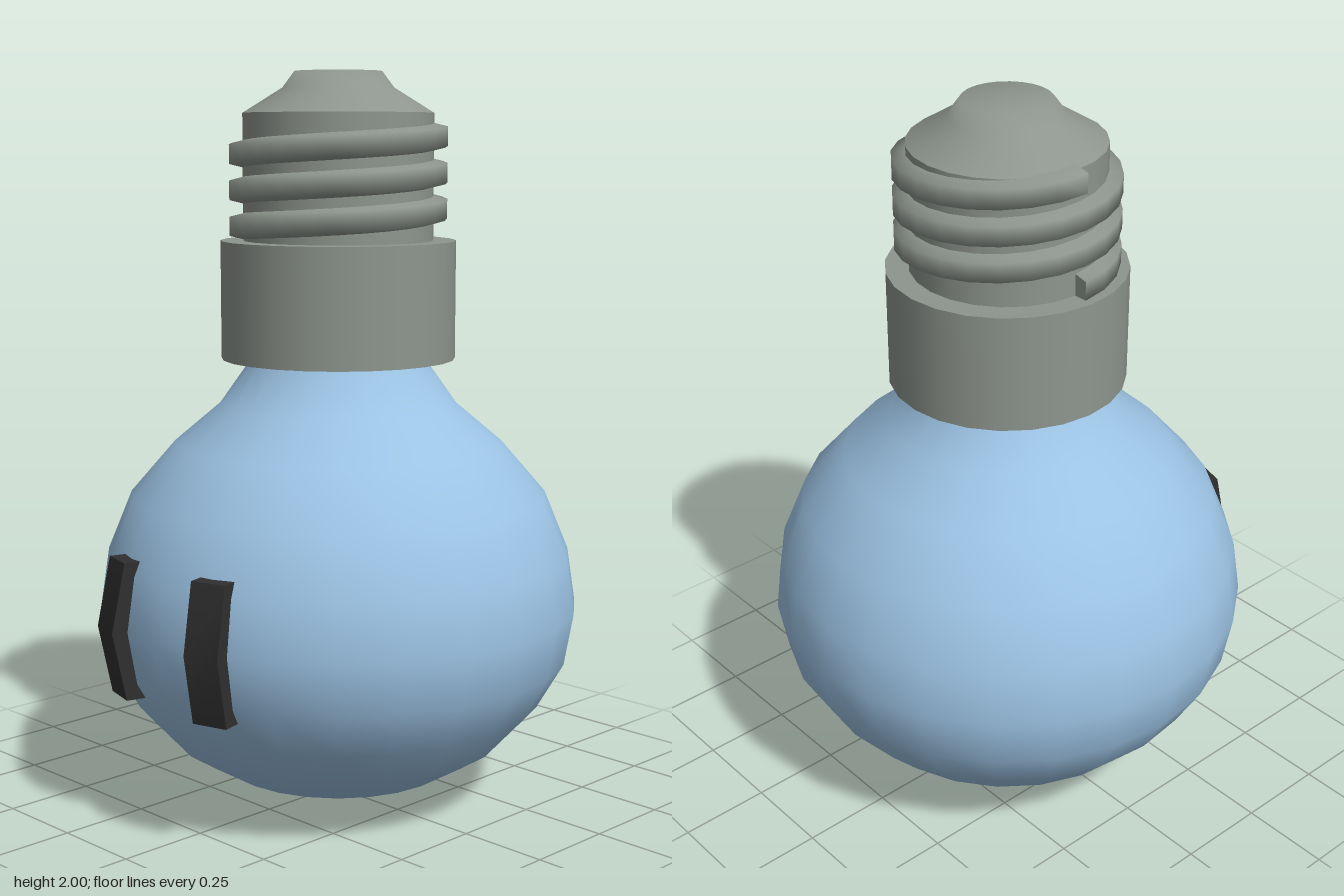
import * as THREE from 'three';

const SIDES = 24;
const glass = new THREE.MeshStandardMaterial({ color: 0x9cc3e4 });
const metal = new THREE.MeshStandardMaterial({ color: 0x8e958e });
const dark = new THREE.MeshStandardMaterial({ color: 0x303030 });

function add(parent, name, geometry, material, y = 0) {
  const mesh = new THREE.Mesh(geometry, material);
  mesh.name = name;
  mesh.position.y = y;
  parent.add(mesh);
  return mesh;
}

const lathe = (pts) =>
  new THREE.LatheGeometry(pts.map(([r, y]) => new THREE.Vector2(r, y)), SIDES);

// Helical ridge: a trapezoid section swept upward, starting at -x
function threadGeometry(turns, yStart, pitch) {
  const section = [[0.25, -0.037], [0.295, -0.026], [0.295, 0.026], [0.25, 0.037]];
  const steps = turns * SIDES, pos = [], index = [];
  const ring = (i) => {
    const t = (i / SIDES) * Math.PI * 2;
    for (const [r, dy] of section)
      pos.push(-r * Math.cos(t), yStart + (pitch * i) / SIDES + dy, r * Math.sin(t));
  };
  for (let i = 0; i <= steps; i++) ring(i);
  for (let i = 0; i < steps; i++)
    for (let j = 0; j < 3; j++) {
      const a = i * 4 + j, b = a + 4;
      index.push(a, b, a + 1, b, b + 1, a + 1);
    }
  // End caps on their own vertices so the ends stay sharp
  const s = pos.length / 3, e = s + 4;
  ring(0);
  ring(steps);
  index.push(s, s + 1, s + 2, s, s + 2, s + 3, e, e + 2, e + 1, e, e + 3, e + 2);
  const g = new THREE.BufferGeometry();
  g.setAttribute('position', new THREE.Float32BufferAttribute(pos, 3));
  g.setIndex(index);
  g.computeVertexNormals();
  return g;
}

// Tall bar bent outward at mid height to follow the glass
function eyeGeometry() {
  const g = new THREE.BoxGeometry(0.1, 0.37, 0.076, 1, 2, 1);
  const p = g.attributes.position;
  for (let i = 0; i < p.count; i++)
    p.setZ(i, p.getZ(i) + 0.661 - 0.038 * Math.abs(p.getY(i)) / 0.185);
  g.computeVertexNormals();
  return g;
}

export function createModel() {
  const model = new THREE.Group();
  model.name = 'lightBulb';
  const body = new THREE.Group();
  body.name = 'body';
  body.position.z = -0.017;
  model.add(body);

  // Glass bulb with its neck running into the collar
  add(body, 'glassBulb', lathe([
    [0, 0], [0.16, 0.025], [0.32, 0.08], [0.46, 0.165], [0.565, 0.28], [0.637, 0.405],
    [0.662, 0.548], [0.64, 0.695], [0.573, 0.858], [0.45, 1.0], [0.325, 1.105],
    [0.24, 1.225], [0.23, 1.28],
  ]), glass);

  // Metal base
  add(body, 'collar', new THREE.CylinderGeometry(0.32, 0.32, 0.32, SIDES), metal, 1.39);
  add(body, 'screwCore', new THREE.CylinderGeometry(0.258, 0.258, 0.36, SIDES), metal, 1.71);
  add(body, 'screwThread', threadGeometry(3, 1.575, 0.0965), metal);
  add(body, 'contactTip', lathe([
    [0.258, 1.89], [0.15, 1.957], [0.118, 2.0], [0, 2.0],
  ]), metal);

  // Eyes, turned to face outward from the bulb's axis
  for (const side of [-1, 1]) {
    const eye = add(body, side > 0 ? 'leftEye' : 'rightEye', eyeGeometry(), dark, 0.55);
    eye.rotation.y = side * 0.278;
  }
  return model;
}
